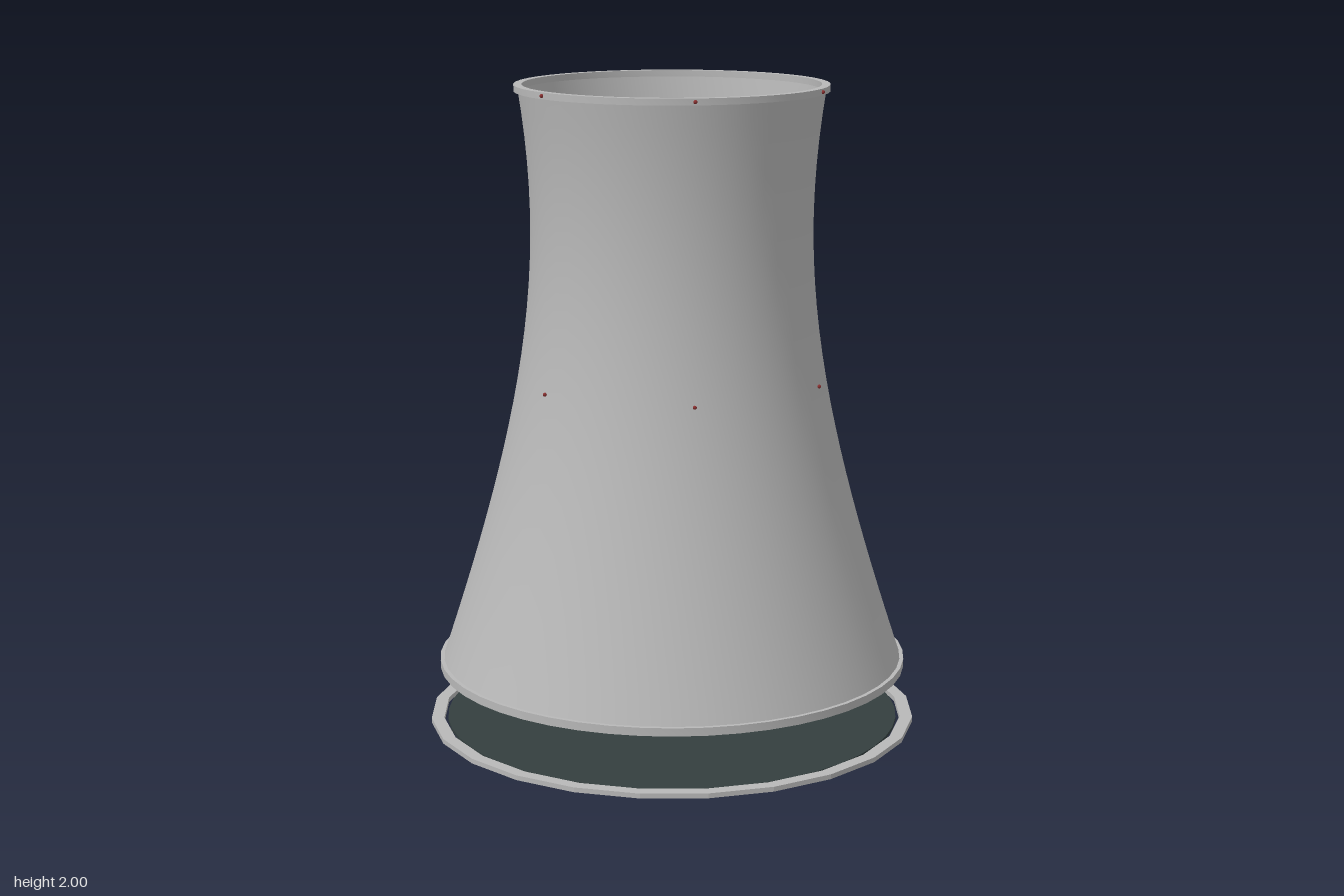
import * as THREE from 'three';
import { toCreasedNormals } from 'three/addons/utils/BufferGeometryUtils.js';

export function createModel() {
  const concrete = new THREE.MeshStandardMaterial({ color: 0xb8b8b8, side: THREE.DoubleSide });
  concrete.name = 'concrete';
  const water = new THREE.MeshStandardMaterial({ color: 0x343f3f });
  water.name = 'dark water';
  const lamp = new THREE.MeshStandardMaterial({ color: 0x8a3030 });
  lamp.name = 'warning lamp';

  const model = new THREE.Group();
  model.name = 'coolingTower';
  const add = (name, geometry, material, y = 0) => {
    const mesh = new THREE.Mesh(geometry, material);
    mesh.name = name;
    mesh.position.y = y;
    model.add(mesh);
    return mesh;
  };

  // Square-edged ring between two radii and two heights
  const ring = (inner, outer, y0, y1, sides) => {
    const profile = [[inner, y0], [outer, y0], [outer, y1], [inner, y1], [inner, y0]]
      .map(([r, y]) => new THREE.Vector2(r, y));
    return toCreasedNormals(new THREE.LatheGeometry(profile, sides), 0.25);
  };

  // Hyperbolic shell, narrowest at the throat
  const radiusAt = (y) => 0.434 * Math.sqrt(1 + ((y - 1.57) / 1.03) ** 2);
  const shellProfile = [];
  for (let i = 0; i <= 24; i++) {
    const y = 0.19 + (1.8 * i) / 24;
    shellProfile.push(new THREE.Vector2(radiusAt(y), y));
  }
  add('shell', new THREE.LatheGeometry(shellProfile, 48), concrete);
  add('topLip', ring(0.455, 0.48, 1.98, 2, 48), concrete);
  add('bottomLip', ring(0.705, 0.733, 0.18, 0.205, 48), concrete);

  // Deck inside the foot of the shell, and the riser that feeds it
  add('deck', new THREE.CylinderGeometry(0.71, 0.71, 0.015, 48), concrete, 0.193);
  add('riser', new THREE.CylinderGeometry(0.06, 0.055, 0.2, 12), concrete, 0.105);

  // Basin at ground level
  add('basinRim', ring(0.725, 0.765, 0, 0.015, 24), concrete);
  add('basinWater', new THREE.CylinderGeometry(0.712, 0.712, 0.01, 48), water, 0.006);

  // Two levels of six small warning lamps
  for (const [y, r] of [[1.1, 0.482], [1.99, 0.482]]) {
    for (let i = 0; i < 6; i++) {
      const a = (i * Math.PI) / 3;
      const light = add('warningLamp', new THREE.SphereGeometry(0.006, 8, 6), lamp, y);
      light.position.x = Math.sin(a) * r;
      light.position.z = Math.cos(a) * r;
    }
  }
  return model;
}
